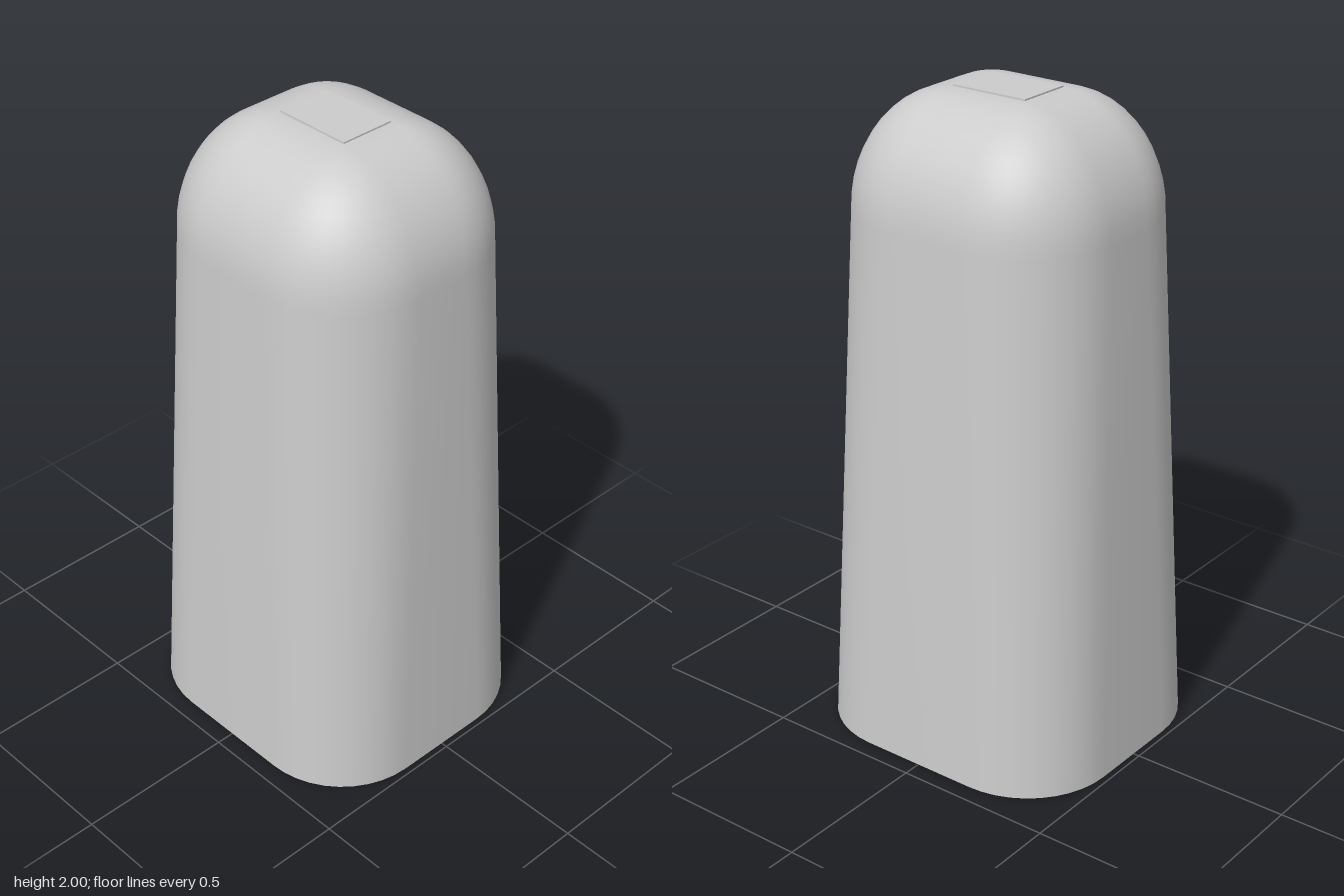
import * as THREE from 'three';
import { toCreasedNormals } from 'three/addons/utils/BufferGeometryUtils.js';

const CORNER = 10; // segments per rounded corner
const DOME = 12;   // rings in the rounded top

// Rounded-rectangle ring: core half sizes (cx, cz) grown outward by radius r
function ring(cx, cz, r, y) {
  const signs = [[1, 1], [-1, 1], [-1, -1], [1, -1]];
  const points = [];
  signs.forEach(([sx, sz], q) => {
    for (let i = 0; i <= CORNER; i++) {
      const a = (q + i / CORNER) * Math.PI / 2;
      points.push([sx * cx + r * Math.cos(a), y, sz * cz + r * Math.sin(a)]);
    }
  });
  return points;
}

// Skin a stack of rings from bottom to top, closing both ends
function loft(rings) {
  const n = rings[0].length, last = rings.length - 1;
  const positions = rings.flat(2), index = [];
  for (let k = 0; k < last; k++) {
    for (let i = 0; i < n; i++) {
      const a = k * n + i, b = k * n + (i + 1) % n;
      index.push(a, a + n, b, b, a + n, b + n);
    }
  }
  const bottom = positions.length / 3;
  positions.push(0, rings[0][0][1], 0, 0, rings[last][0][1], 0);
  for (let i = 0; i < n; i++) {
    const j = (i + 1) % n;
    index.push(bottom, i, j, bottom + 1, last * n + j, last * n + i);
  }
  const geometry = new THREE.BufferGeometry();
  geometry.setAttribute('position', new THREE.Float32BufferAttribute(positions, 3));
  geometry.setIndex(index);
  return toCreasedNormals(geometry, Math.PI / 6);
}

export function createModel() {
  const group = new THREE.Group();
  group.name = 'taperedCap';
  const material = new THREE.MeshStandardMaterial({ color: 0xcccccc });

  // Tapered wall, then an elliptical dome closing onto a small flat
  const shoulder = 1.64, top = 1.995;
  const rings = [ring(0.195, 0.158, 0.285, 0)];
  for (let i = 0; i <= DOME; i++) {
    const t = (i / DOME) * Math.PI / 2;
    rings.push(ring(0.125, 0.088, 0.294 * Math.cos(t), shoulder + (top - shoulder) * Math.sin(t)));
  }
  const body = new THREE.Mesh(loft(rings), material);
  body.name = 'body';
  group.add(body);

  // Thin rectangular flat on the crown
  const crown = new THREE.Mesh(new THREE.BoxGeometry(0.25, 0.01, 0.176), material);
  crown.name = 'crownPlate';
  crown.position.y = 1.995;
  group.add(crown);

  return group;
}
